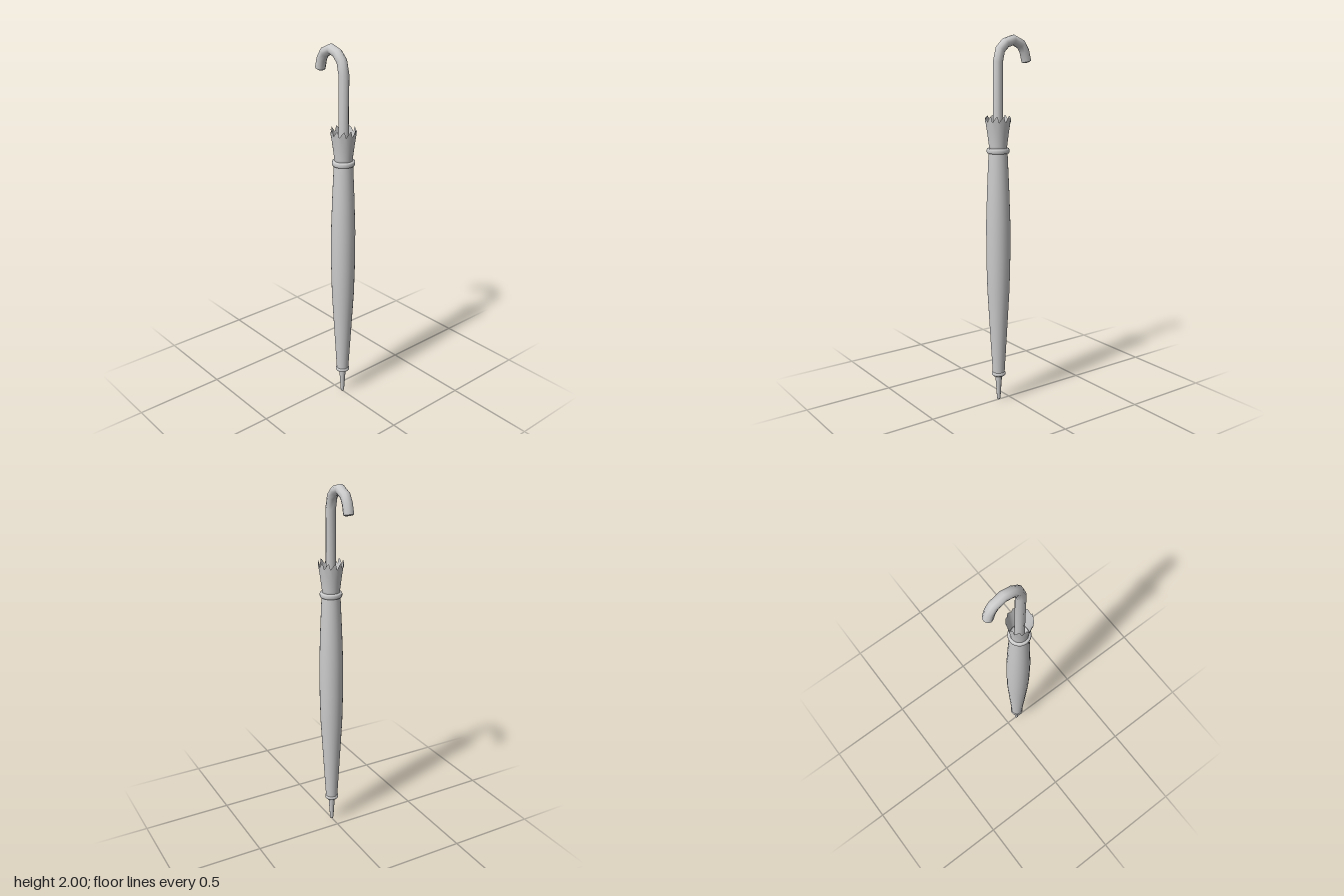
import * as THREE from 'three';

const AXIS = 0.07; // x of the shaft
const material = new THREE.MeshStandardMaterial({ color: 0xcccccc, side: THREE.DoubleSide });

// Straight-segment path with mitred joints
class Polyline extends THREE.Curve {
  constructor(points) {
    super();
    this.points = points.map(([x, y]) => new THREE.Vector3(x, y, 0));
  }
  getPoint(t, target = new THREE.Vector3()) {
    const n = this.points.length - 1;
    const i = Math.min(Math.floor(t * n + 1e-6), n - 1);
    return target.lerpVectors(this.points[i], this.points[i + 1], t * n - i);
  }
  getPointAt(u, target) {
    return this.getPoint(u, target);
  }
  getTangentAt(u, target = new THREE.Vector3()) {
    const p = this.points, n = p.length - 1, i = Math.round(u * n);
    const dir = (a, b) => p[b].clone().sub(p[a]).normalize();
    target.set(0, 0, 0);
    if (i > 0) target.add(dir(i - 1, i));
    if (i < n) target.add(dir(i, i + 1));
    return target.normalize();
  }
}

function lathe(profile, segments) {
  return new THREE.LatheGeometry(profile.map(([r, y]) => new THREE.Vector2(r, y)), segments);
}

export function createModel() {
  const group = new THREE.Group();
  const add = (name, geometry, x = AXIS, y = 0) => {
    const mesh = new THREE.Mesh(geometry, material);
    mesh.name = name;
    mesh.position.set(x, y, 0);
    group.add(mesh);
    return mesh;
  };

  // Shaft and crook in one bent tube
  const path = [
    [AXIS, 1.38], [AXIS, 1.86], [0.054, 1.925], [0.02, 1.958], [-0.027, 1.973],
    [-0.078, 1.95], [-0.1, 1.915], [-0.113, 1.864],
  ];
  add('handle', new THREE.TubeGeometry(new Polyline(path), path.length - 1, 0.027, 10), 0);

  // Slightly domed end of the crook
  const cap = add('handleEnd', lathe([[0, -0.007], [0.018, -0.006], [0.027, 0]], 10), -0.113, 1.864);
  cap.rotation.z = -0.25;

  // Furled canopy
  add('canopy', lathe([
    [0.033, 0.16], [0.047, 0.4], [0.061, 0.65], [0.065, 0.82], [0.065, 1.02],
    [0.059, 1.2], [0.05, 1.4],
  ], 24));

  // Flared hem with a saw-toothed edge
  const hemProfile = [[0.027, 1.4], [0.048, 1.4], [0.048, 1.43], [0.057, 1.5], [0.065, 1.553], [0.068, 1.556]];
  const teeth = 12, steps = 4;
  const hem = lathe(hemProfile, teeth * steps);
  const pos = hem.attributes.position;
  const rows = hemProfile.length;
  const rise = [0, 0.012, 0.024, 0.032];
  for (let i = 0; i <= teeth * steps; i++) {
    const top = i * rows + rows - 1;
    pos.setY(top, pos.getY(top) + rise[i % steps]);
  }
  hem.computeVertexNormals();
  add('canopyHem', hem);

  // Strap and lower collar
  add('strap', lathe([
    [0.046, 1.39], [0.057, 1.392], [0.06, 1.398], [0.06, 1.41], [0.057, 1.417], [0.046, 1.419],
  ], 24));
  add('collar', lathe([
    [0, 0.146], [0.032, 0.146], [0.038, 0.152], [0.038, 0.162], [0.033, 0.169], [0, 0.169],
  ], 20));

  // Pointed ferrule
  add('ferrule', lathe([[0, 0], [0.007, 0.002], [0.01, 0.012], [0.019, 0.148]], 12));

  return group;
}
